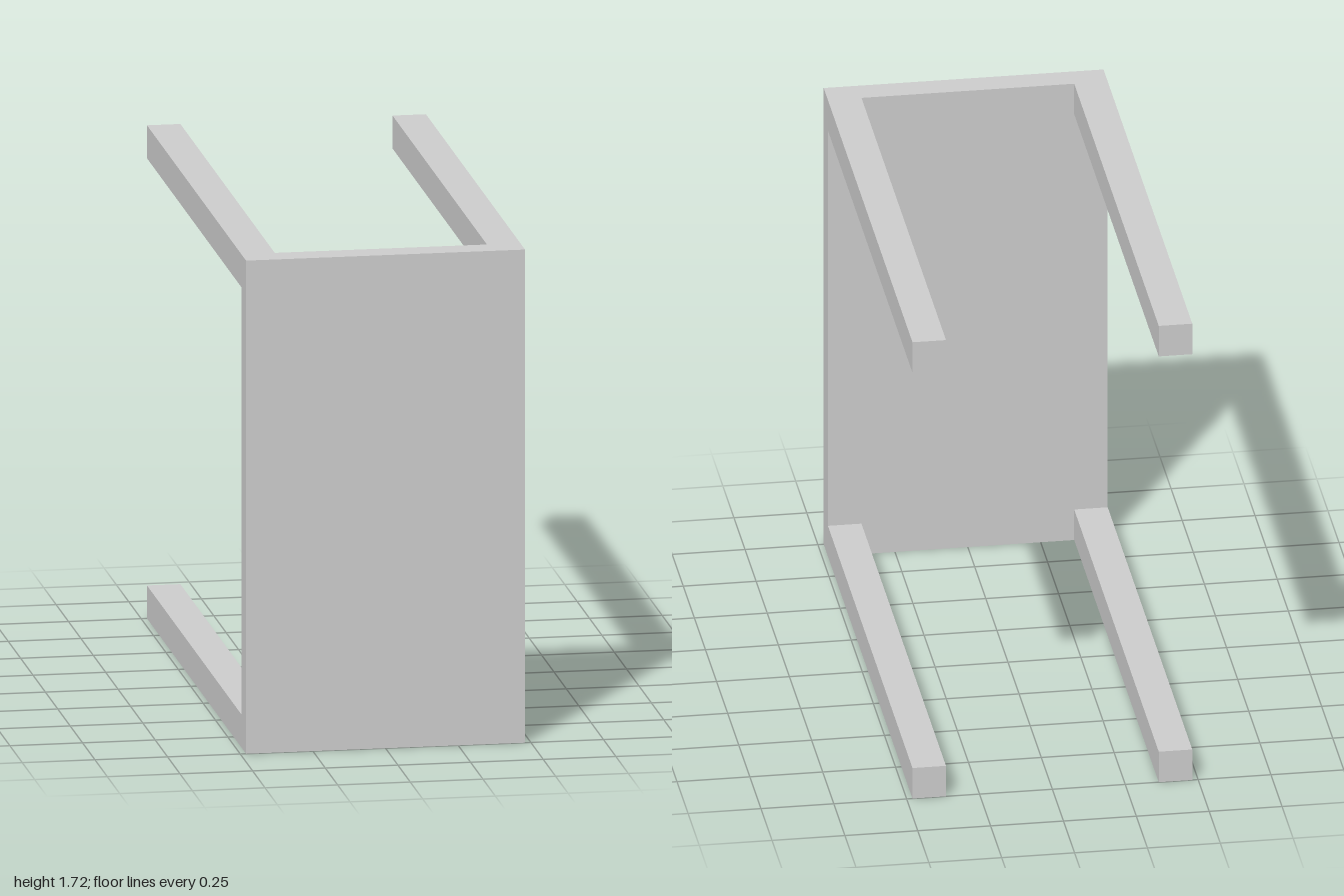
import * as THREE from 'three';

const WIDTH = 0.96, HEIGHT = 1.72, DEPTH = 2;
const PANEL = 0.095; // panel thickness
const LEG = 0.115;   // square leg section

export function createModel() {
  const model = new THREE.Group();
  model.name = 'table';
  const material = new THREE.MeshStandardMaterial({ color: 0xcccccc, flatShading: true });

  const addBox = (name, size, position) => {
    const mesh = new THREE.Mesh(new THREE.BoxGeometry(...size), material);
    mesh.name = name;
    mesh.position.set(...position);
    model.add(mesh);
  };

  // Upright slab at the front
  addBox('tabletop', [WIDTH, HEIGHT, PANEL], [0, HEIGHT / 2, DEPTH / 2 - PANEL / 2]);

  // Four legs running back from the slab's corners
  const legLength = DEPTH - PANEL;
  for (const [side, sx] of [['Left', 1], ['Right', -1]]) {
    for (const [level, y] of [['lower', LEG / 2], ['upper', HEIGHT - LEG / 2]]) {
      addBox(`${level}${side}Leg`, [LEG, LEG, legLength],
        [sx * (WIDTH - LEG) / 2, y, -PANEL / 2]);
    }
  }
  return model;
}
